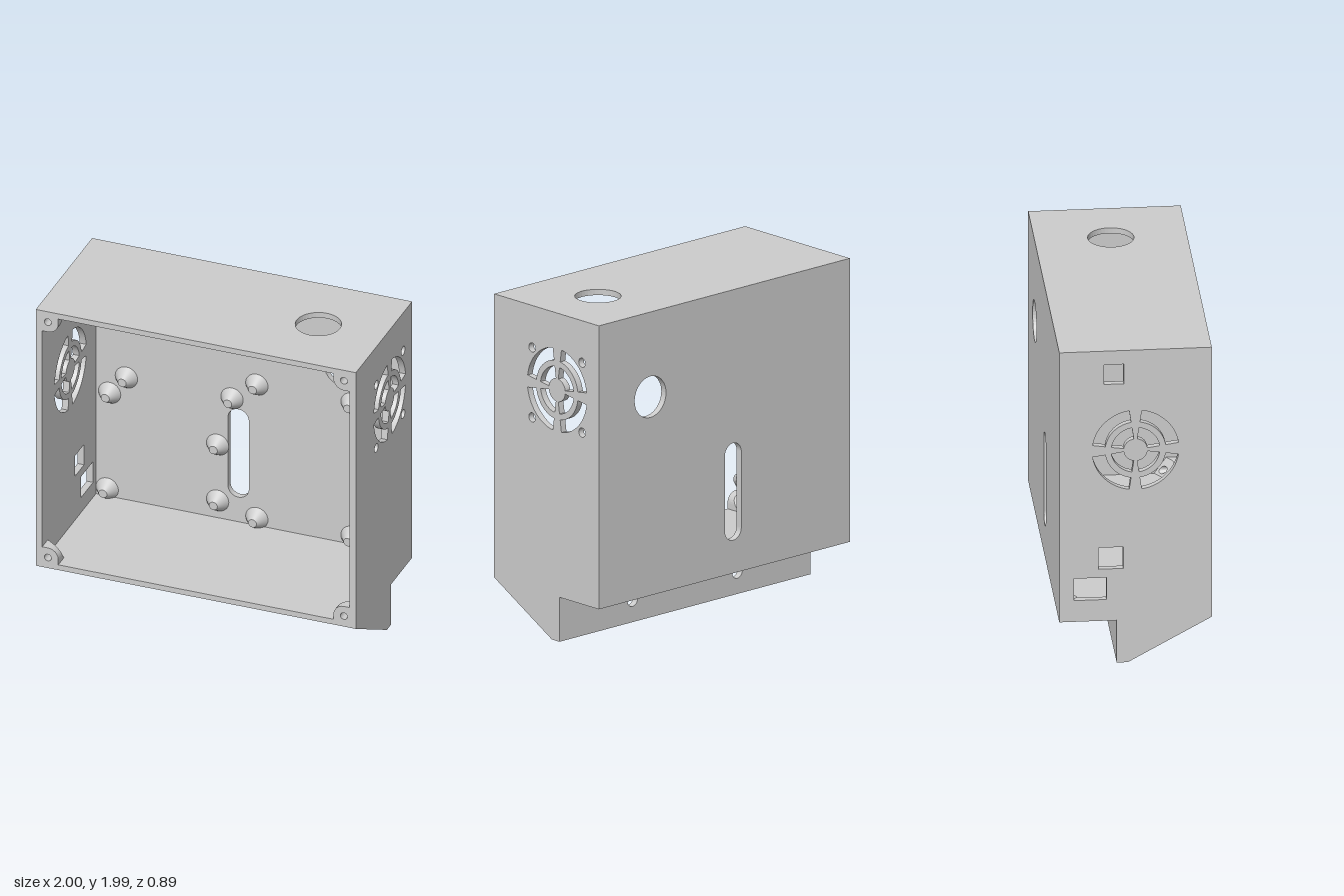
import * as THREE from 'three';

const W = 1, TOP = 1.99, BASE = 0.27, D = 0.445, T = 0.04;
const material = new THREE.MeshStandardMaterial({ color: 0xcccccc });

const polygon = (pts) => new THREE.Shape(pts.map(([x, y]) => new THREE.Vector2(x, y)));
const rectangle = (cx, cy, w, h) => polygon([
  [cx - w / 2, cy - h / 2], [cx + w / 2, cy - h / 2], [cx + w / 2, cy + h / 2], [cx - w / 2, cy + h / 2]]);
const circle = (x, y, r) => new THREE.Path().absarc(x, y, r, 0, Math.PI * 2);

function plate(shape, holes = [], depth = T) {
  shape.holes.push(...holes);
  return new THREE.ExtrudeGeometry(shape, { depth, bevelEnabled: false, curveSegments: 20 });
}

// Two rings of four curved vents around a solid hub
function fanVents(cx, cy) {
  const vents = [], gap = 0.147;
  for (const [inner, outer] of [[0.07, 0.142], [0.178, 0.253]]) {
    for (let i = 0; i < 4; i++) {
      const a = i * Math.PI / 2 + gap, b = (i + 1) * Math.PI / 2 - gap;
      const vent = new THREE.Path();
      vent.absarc(cx, cy, outer, a, b, false);
      vent.absarc(cx, cy, inner, b, a, true);
      vent.closePath();
      vents.push(vent);
    }
  }
  return vents;
}

// Side outline with the bracket gusset below; horizontal axis is -z
const sideOutline = () => polygon([
  [-D, BASE], [0.045, 0], [0.11, 0], [0.11, BASE], [D, BASE], [D, TOP], [-D, TOP]]);

export function createModel() {
  const model = new THREE.Group();
  const add = (name, geometry, x = 0, y = 0, z = 0) => {
    const mesh = new THREE.Mesh(geometry, material);
    mesh.name = name;
    mesh.position.set(x, y, z);
    model.add(mesh);
    return mesh;
  };

  // Left wall: fan vents with four screw holes
  const screws = [];
  for (const u of [-1, 1]) for (const v of [-1, 1]) {
    screws.push(circle(0.09 + u * 0.212, 1.523 + v * 0.212, 0.028));
  }
  add('leftWall', plate(sideOutline(), [...fanVents(0.09, 1.523), ...screws]).rotateY(Math.PI / 2), W - T);

  // Right wall: fan vents and connector cutouts
  add('rightWall', plate(sideOutline(), [
    ...fanVents(0, 1.353),
    rectangle(0.126, 1.84, 0.115, 0.125),
    rectangle(0.144, 0.668, 0.145, 0.137),
    rectangle(0.264, 0.475, 0.19, 0.14),
  ]).rotateY(Math.PI / 2), -W);

  // Back wall: round opening and cable slot
  const slot = new THREE.Path();
  slot.absarc(-0.07, 0.995, 0.065, 0, Math.PI, false);
  slot.absarc(-0.07, 0.535, 0.065, Math.PI, Math.PI * 2, false);
  slot.closePath();
  add('backWall', plate(rectangle(0, (TOP + BASE) / 2, 2 * (W - T), TOP - BASE),
    [circle(0.59, 1.475, 0.125), slot]), 0, 0, -D);

  // Roof with round opening, and floor
  const inner = 2 * D - T;
  add('roof', plate(rectangle(0, -T / 2, 2 * (W - T), inner), [circle(0.59, 0, 0.135)], 0.035)
    .rotateX(-Math.PI / 2), 0, TOP - 0.035);
  add('floor', new THREE.BoxGeometry(2 * (W - T), 0.035, inner), 0, BASE + 0.0175, T / 2);

  // Mounting plate below the box
  add('mountingPlate', plate(rectangle(0, BASE / 2, 2 * (W - T), BASE),
    [circle(-0.417, 0.135, 0.04), circle(0.417, 0.135, 0.04)]), 0, 0, -0.11);

  // Corner screw posts, sloping back into the corner
  const r = 0.065, e = 0.036, length = 0.16;
  for (const sx of [-1, 1]) for (const sy of [-1, 1]) {
    const points = [[e, e], [-r, e]];
    for (let i = 0; i <= 8; i++) {
      const a = Math.PI + i * Math.PI / 16;
      points.push([Math.cos(a) * r, Math.sin(a) * r]);
    }
    points.push([e, -r]);
    const geometry = plate(polygon(points.map(([x, y]) => [x * sx, y * sy])), [circle(0, 0, 0.022)], length);
    const p = geometry.attributes.position;
    for (let i = 0; i < p.count; i++) {
      if (p.getZ(i) < 0.001) p.setZ(i, 0.05 - 0.7 * (p.getX(i) * sx + p.getY(i) * sy));
    }
    geometry.computeVertexNormals();
    add('cornerPost', geometry, sx * 0.925, sy > 0 ? 1.92 : 0.34, D - length);
  }

  // Conical standoffs on the back wall
  const h = 0.07;
  const spots = [
    [-0.77, 1.505], [-0.11, 1.505], [-0.77, 1.125], [-0.11, 1.125],
    [0.045, 1.25], [0.64, 1.25], [0.045, 0.355], [0.64, 0.355],
    [-0.875, 1.0], [-0.2, 0.795], [-0.2, 0.42], [-0.89, 0.355]];
  for (const [x, y] of spots) {
    add('standoff', new THREE.CylinderGeometry(0.026, 0.07, h, 32).rotateX(Math.PI / 2), x, y, -D + T + h / 2);
  }

  // Conical standoffs under the roof
  for (const x of [-0.82, 0.155]) {
    add('roofStandoff', new THREE.CylinderGeometry(0.052, 0.024, 0.05, 32), x, 1.932, 0.17);
  }
  return model;
}
